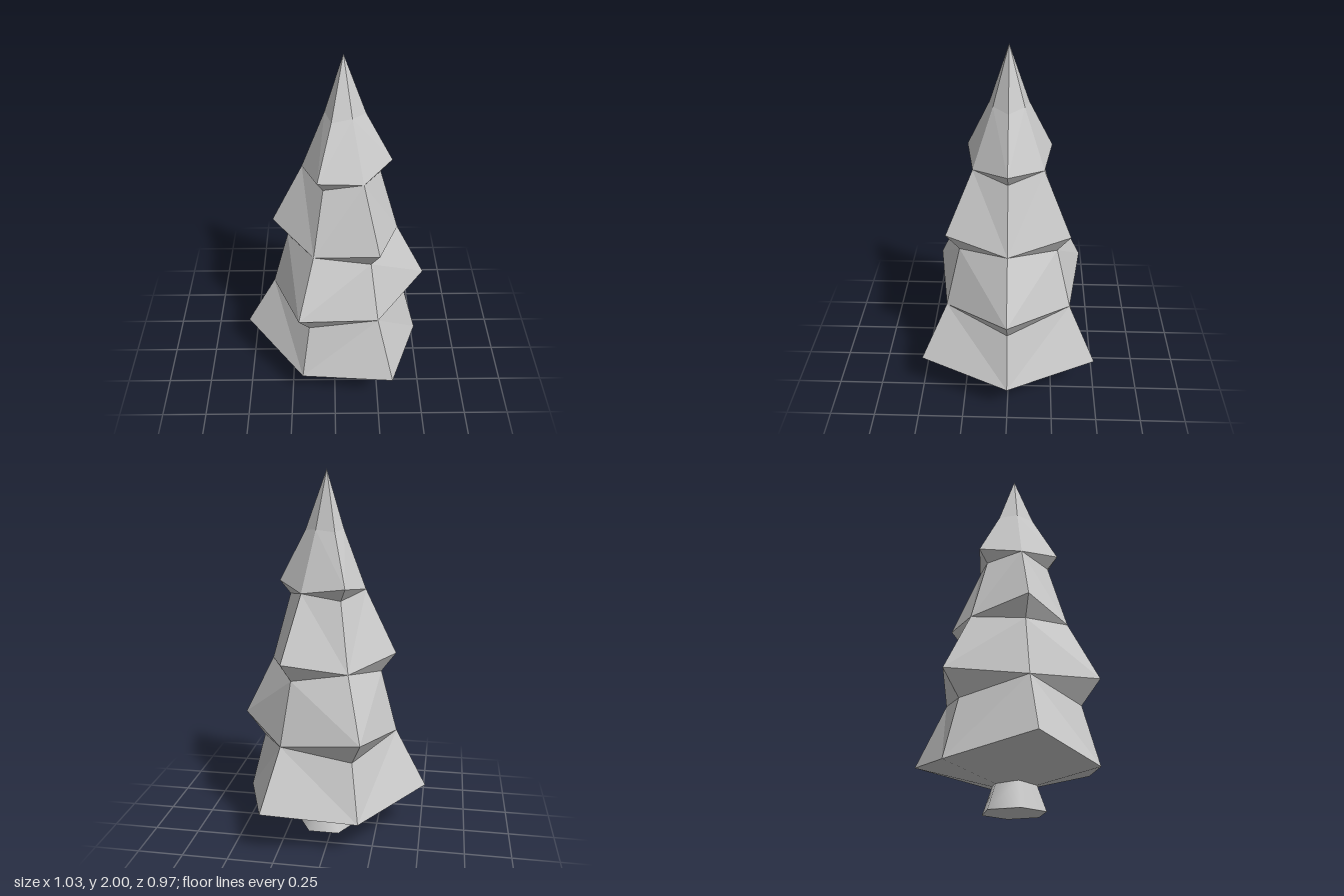
import * as THREE from 'three';

const CENTRE_X = 0.04;
const SIDES = 6;

// [radius, height] up the three even corners and the three odd corners;
// the tiers' long points alternate between the two sets.
const EVEN = [[0.115, 0.13], [0.45, 0.2], [0.365, 0.52], [0.47, 0.655], [0.305, 0.985],
  [0.305, 0.985], [0.2, 1.35], [0.258, 1.42], [0.115, 1.69], [0, 2]];
const ODD = [[0.115, 0.14], [0.56, 0.27], [0.39, 0.595], [0.39, 0.595], [0.3, 0.935],
  [0.378, 1.04], [0.21, 1.385], [0.21, 1.385], [0.09, 1.7], [0, 2]];

function foliageGeometry() {
  const point = (side, row) => {
    const [r, y] = (side % 2 ? ODD : EVEN)[row];
    const a = (side / SIDES) * Math.PI * 2;
    return new THREE.Vector3(r * Math.cos(a), y, r * Math.sin(a));
  };
  const points = [];
  const triangle = (a, b, c) => {
    // Skip triangles that collapse where rings touch
    if (new THREE.Triangle(a, b, c).getArea() > 1e-6) points.push(a, b, c);
  };
  for (let side = 0; side < SIDES; side++) {
    for (let row = 0; row < EVEN.length - 1; row++) {
      const a0 = point(side, row), a1 = point(side, row + 1);
      const b0 = point(side + 1, row), b1 = point(side + 1, row + 1);
      // Mirror the diagonal on every second side
      if (side % 2 === 0) {
        triangle(a0, a1, b1);
        triangle(a0, b1, b0);
      } else {
        triangle(a1, b1, b0);
        triangle(a1, b0, a0);
      }
    }
  }
  const geometry = new THREE.BufferGeometry().setFromPoints(points);
  geometry.computeVertexNormals();
  return geometry;
}

export function createModel() {
  const tree = new THREE.Group();
  tree.name = 'tree';

  // Faceted crown of four overlapping tiers
  const foliage = new THREE.Mesh(foliageGeometry(),
    new THREE.MeshStandardMaterial({ color: 0xcccccc, flatShading: true }));
  foliage.name = 'foliage';
  foliage.position.x = CENTRE_X;

  // Short flared trunk, corners on the x axis
  const trunkShape = new THREE.CylinderGeometry(0.118, 0.17, 0.14, SIDES);
  trunkShape.rotateY(Math.PI / 2);
  const trunk = new THREE.Mesh(trunkShape, new THREE.MeshStandardMaterial({ color: 0xcccccc }));
  trunk.name = 'trunk';
  trunk.position.set(CENTRE_X, 0.07, 0);

  tree.add(foliage, trunk);
  return tree;
}
